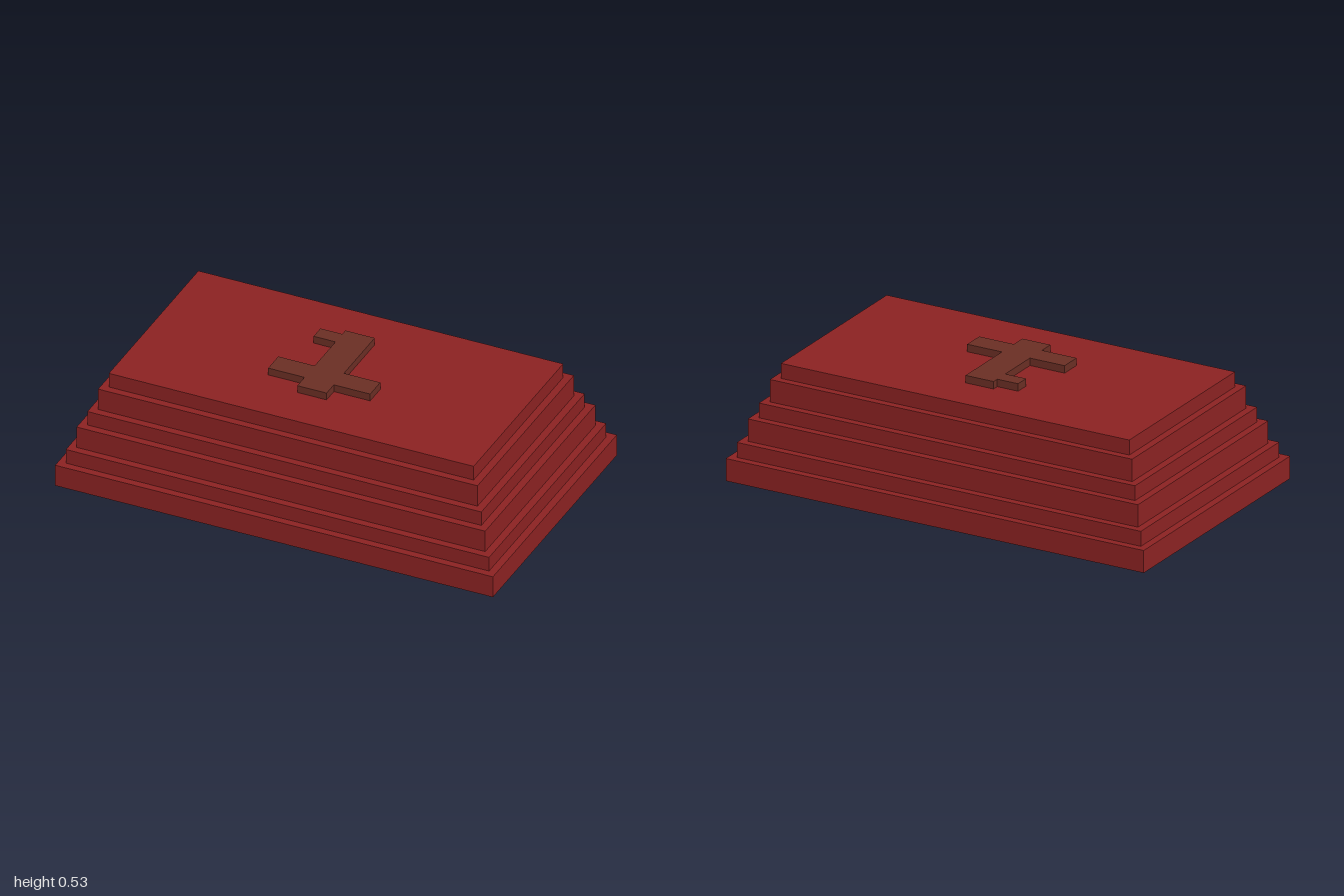
import * as THREE from 'three';

export function createModel() {
  const model = new THREE.Group();
  model.name = 'steppedSlab';

  const red = new THREE.MeshStandardMaterial({ color: 0x8b2222 });
  red.name = 'dark red';
  const brown = new THREE.MeshStandardMaterial({ color: 0x6a2e24 });
  brown.name = 'reddish brown';

  // Stacked tiers, each one step narrower than the tier below
  const levels = [0, 0.1, 0.167, 0.267, 0.333, 0.433, 0.5];
  const step = 1 / 30;
  for (let i = 0; i < levels.length - 1; i++) {
    const height = levels[i + 1] - levels[i];
    const inset = 2 * step * i;
    const tier = new THREE.Mesh(new THREE.BoxGeometry(2 - inset, height, 1.2 - inset), red);
    tier.name = `tier${i + 1}`;
    tier.position.y = levels[i] + height / 2;
    model.add(tier);
  }

  // Raised ornament: stem, crossbar and side tab as one outline (x, z)
  const outline = [
    [-0.067, 0.233], [0.067, 0.233], [0.067, 0.163], [0.233, 0.163],
    [0.233, 0.065], [0.067, 0.065], [0.067, -0.233], [-0.067, -0.233],
    [-0.067, -0.203], [-0.167, -0.203], [-0.167, -0.137], [-0.067, -0.137],
    [-0.067, 0.065], [-0.233, 0.065], [-0.233, 0.163], [-0.067, 0.163],
  ];
  const shape = new THREE.Shape(outline.map(([x, z]) => new THREE.Vector2(x, -z)));
  const geometry = new THREE.ExtrudeGeometry(shape, { depth: step, bevelEnabled: false });
  geometry.rotateX(-Math.PI / 2);
  const ornament = new THREE.Mesh(geometry, brown);
  ornament.name = 'raisedOrnament';
  ornament.position.y = 0.5;
  model.add(ornament);

  return model;
}
